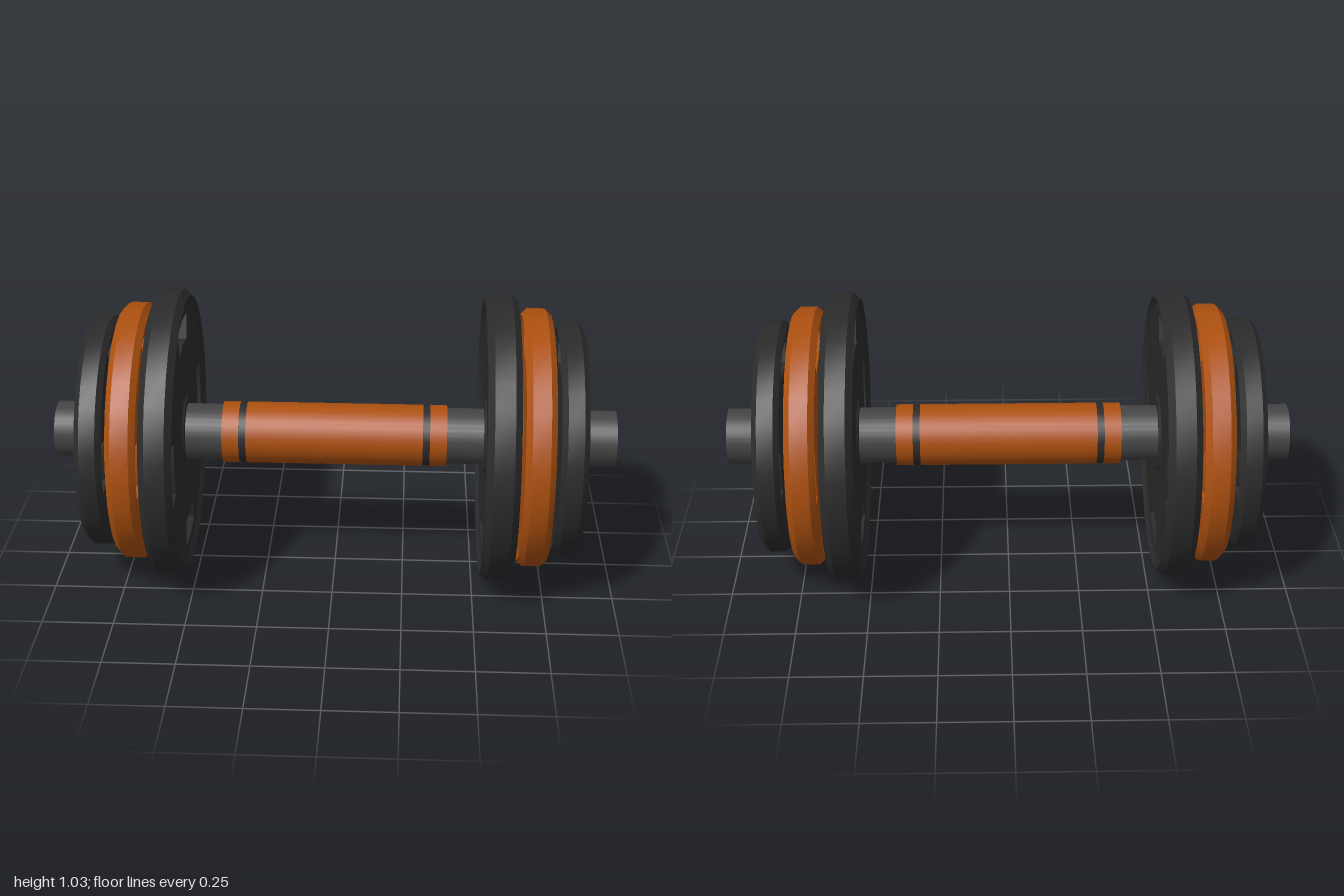
import * as THREE from 'three';
import { toCreasedNormals } from 'three/addons/utils/BufferGeometryUtils.js';

const SIDES = 32;
const AXIS_Y = 0.513;
const black = new THREE.MeshStandardMaterial({ color: 0x2b2b2b });
const steel = new THREE.MeshStandardMaterial({ color: 0x444444 });
const orange = new THREE.MeshStandardMaterial({ color: 0xac500f });

function addMesh(parent, name, geometry, material) {
  const mesh = new THREE.Mesh(geometry, material);
  mesh.name = name;
  parent.add(mesh);
  return mesh;
}

// Point on a circle, angle in degrees
const polar = (r, deg) => {
  const a = THREE.MathUtils.degToRad(deg);
  return new THREE.Vector2(r * Math.cos(a), r * Math.sin(a));
};

const ring = (r) => Array.from({ length: SIDES }, (_, i) => polar(r, (i * 360) / SIDES));

// Revolves [radius, x] points around the x axis
function revolve(points) {
  const g = new THREE.LatheGeometry(points.map(([r, x]) => new THREE.Vector2(r, x)), SIDES);
  g.rotateZ(-Math.PI / 2);
  return toCreasedNormals(g, 0.5);
}

// Cylinder along x between two positions
function rod(radius, x0, x1) {
  const g = new THREE.CylinderGeometry(radius, radius, x1 - x0, SIDES);
  g.rotateZ(-Math.PI / 2);
  g.translate((x0 + x1) / 2, 0, 0);
  return g;
}

// Weight plate of radius 1, width 0.225, centred on the origin
const HALF = 0.112, BEVEL = 0.045, WEB = 0.085;

function rimGeometry() {
  return revolve([
    [0.9, -WEB], [0.905, -WEB], [0.95, -HALF], [1 - BEVEL, -HALF], [1, -HALF + BEVEL],
    [1, HALF - BEVEL], [1 - BEVEL, HALF], [0.95, HALF], [0.905, WEB], [0.9, WEB],
  ]);
}

// Recessed disc with four curved grip slots
function webGeometry() {
  const shape = new THREE.Shape(ring(0.905));
  const angles = [-16, -11.25, 0, 11.25, 16];
  for (let i = 0; i < 4; i++) {
    const outer = angles.map((a) => polar(0.825, a + i * 90));
    const inner = angles.map((a) => polar(0.65, a + i * 90)).reverse();
    shape.holes.push(new THREE.Path([...outer, ...inner]));
  }
  const g = new THREE.ExtrudeGeometry(shape, { depth: 2 * WEB, bevelEnabled: false });
  g.translate(0, 0, -WEB);
  g.rotateY(Math.PI / 2);
  return toCreasedNormals(g, 0.5);
}

// Slightly raised collar round the bar
function hubGeometry() {
  return revolve([[0.17, -0.1], [0.245, -0.1], [0.26, -WEB], [0.26, WEB], [0.245, 0.1], [0.17, 0.1]]);
}

export function createModel() {
  const model = new THREE.Group();
  model.name = 'dumbbell';
  const body = new THREE.Group();
  body.name = 'barAndPlates';
  body.position.y = AXIS_Y;
  model.add(body);

  // Bar and grip
  addMesh(body, 'bar', rod(0.1, -1, 1), steel);
  addMesh(body, 'gripSleeve', rod(0.11, -0.315, 0.315), orange);
  for (const s of [-1, 1]) {
    const side = s > 0 ? 'left' : 'right';
    addMesh(body, side + 'GripEnd', rod(0.11, Math.min(s * 0.34, s * 0.4), Math.max(s * 0.34, s * 0.4)), orange);
    addMesh(body, side + 'GripBand', rod(0.108, s * 0.3275 - 0.0125, s * 0.3275 + 0.0125), black);
  }

  // Three plates on each side, shrinking outwards
  const rim = rimGeometry(), web = webGeometry(), hub = hubGeometry();
  const plates = [
    ['LargePlate', 0.513, 0.582, black],
    ['MediumPlate', 0.462, 0.707, orange],
    ['SmallPlate', 0.415, 0.825, black],
  ];
  for (const s of [-1, 1]) {
    for (const [name, radius, x, material] of plates) {
      const plate = new THREE.Group();
      plate.name = (s > 0 ? 'left' : 'right') + name;
      addMesh(plate, 'rim', rim, material);
      addMesh(plate, 'web', web, material);
      addMesh(plate, 'hub', hub, material);
      plate.scale.setScalar(radius);
      plate.position.x = s * x;
      body.add(plate);
    }
  }
  return model;
}
